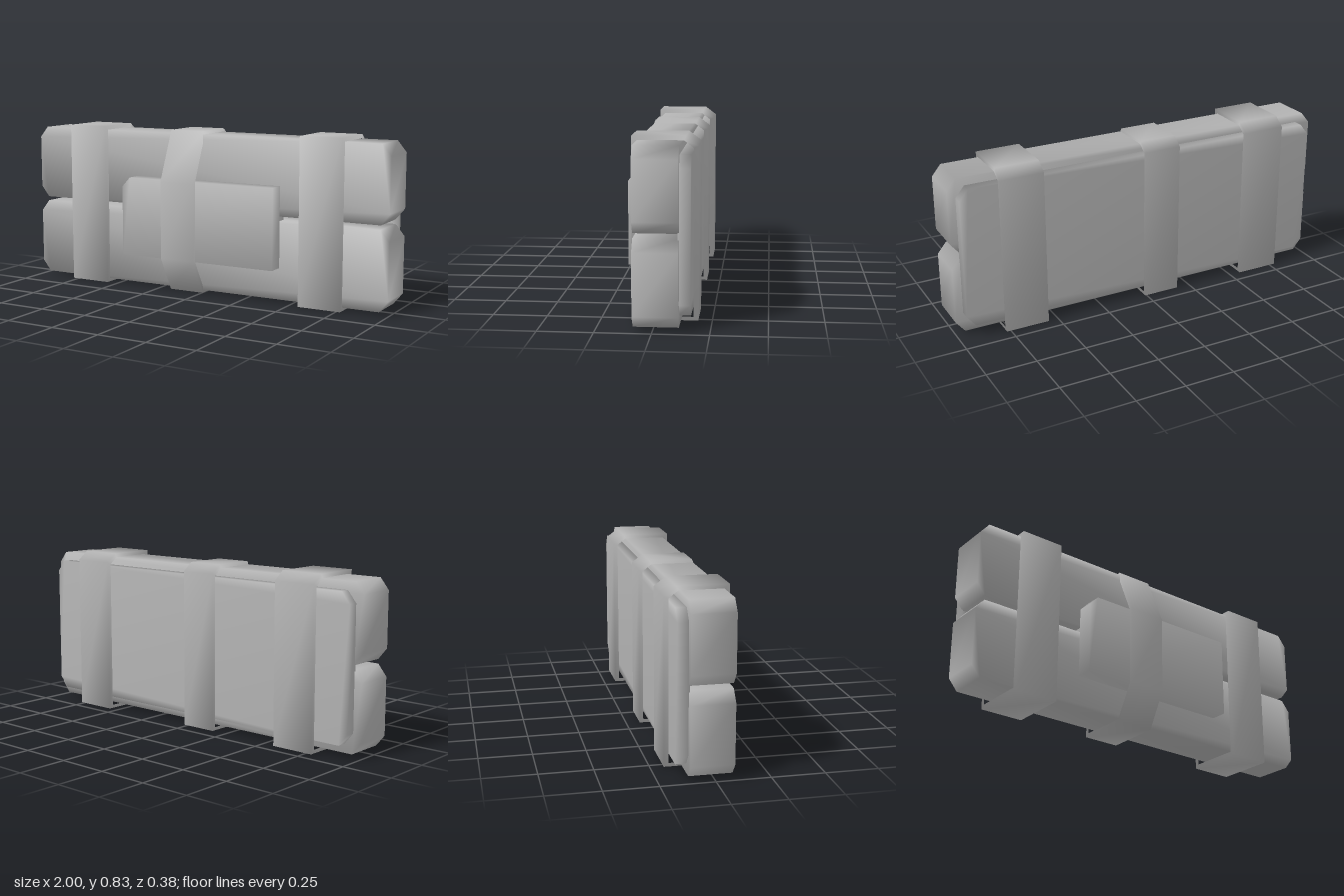
import * as THREE from 'three';
import { mergeVertices } from 'three/addons/utils/BufferGeometryUtils.js';

const grey = new THREE.MeshStandardMaterial({ color: 0xb4b4b4 });
grey.name = 'grey';

// Share corners so that normals blend softly around every edge
function soften(geometry) {
  geometry.deleteAttribute('normal');
  geometry.deleteAttribute('uv');
  const merged = mergeVertices(geometry, 1e-4);
  merged.computeVertexNormals();
  return merged;
}

const toPoints = (list) => list.map(([x, y]) => new THREE.Vector2(x, y));

function addMesh(group, name, geometry) {
  const mesh = new THREE.Mesh(soften(geometry), grey);
  mesh.name = name;
  group.add(mesh);
}

// Slab in the xy plane between z0 and z1
function slab(outline, z0, z1) {
  const shape = new THREE.Shape(toPoints(outline));
  return new THREE.ExtrudeGeometry(shape, { depth: z1 - z0, bevelEnabled: false }).translate(0, 0, z0);
}

// Rectangle with all four corners cut off
function cutRectangle(x, y0, y1, cx, cy) {
  return [
    [-x + cx, y0], [x - cx, y0], [x, y0 + cy], [x, y1 - cy],
    [x - cx, y1], [-x + cx, y1], [-x, y1 - cy], [-x, y0 + cy],
  ];
}

// Closed band running round the bundle; profiles are [z, y] pairs
function band(outer, inner, x0, x1) {
  const flip = (list) => toPoints(list.map(([z, y]) => [-z, y]));
  const shape = new THREE.Shape(flip(outer));
  shape.holes.push(new THREE.Path(flip(inner)));
  return new THREE.ExtrudeGeometry(shape, { depth: x1 - x0, bevelEnabled: false })
    .rotateY(Math.PI / 2).translate(x0, 0, 0);
}

export function createModel() {
  const group = new THREE.Group();
  group.name = 'strappedBundle';

  // Two stacked rolls and the panel behind them
  addMesh(group, 'upperRoll', slab(cutRectangle(1, 0.43, 0.808, 0.045, 0.055), -0.115, 0.085));
  addMesh(group, 'lowerRoll', slab(cutRectangle(1, 0.018, 0.408, 0.045, 0.055), -0.115, 0.085));
  addMesh(group, 'backPanel', slab(cutRectangle(0.96, 0.062, 0.766, 0.045, 0.055), -0.165, -0.11));

  // Front pouch with one cut corner
  addMesh(group, 'frontPouch', slab([
    [-0.42, 0.175], [0.437, 0.175], [0.437, 0.578], [-0.375, 0.578], [-0.42, 0.53],
  ], 0.04, 0.167));

  // Outer straps
  const outer = [[0.11, 0], [0.11, 0.828], [-0.13, 0.828], [-0.187, 0.785], [-0.187, 0]];
  const inner = [[0.086, 0.017], [0.086, 0.809], [-0.122, 0.809], [-0.166, 0.775], [-0.166, 0.017]];
  [['rightStrap', -0.78, -0.56], ['leftStrap', 0.55, 0.77]].forEach(([name, x0, x1]) => {
    addMesh(group, name, band(outer, inner, x0, x1));
  });

  // Middle strap, stretched over the pouch
  addMesh(group, 'middleStrap', band(
    [[0.093, 0.004], [0.188, 0.18], [0.188, 0.573], [0.08, 0.824], [-0.13, 0.824], [-0.184, 0.783], [-0.184, 0.004]],
    [[0.078, 0.02], [0.167, 0.178], [0.167, 0.573], [0.068, 0.807], [-0.122, 0.807], [-0.166, 0.773], [-0.166, 0.02]],
    -0.177, 0.01));

  return group;
}
